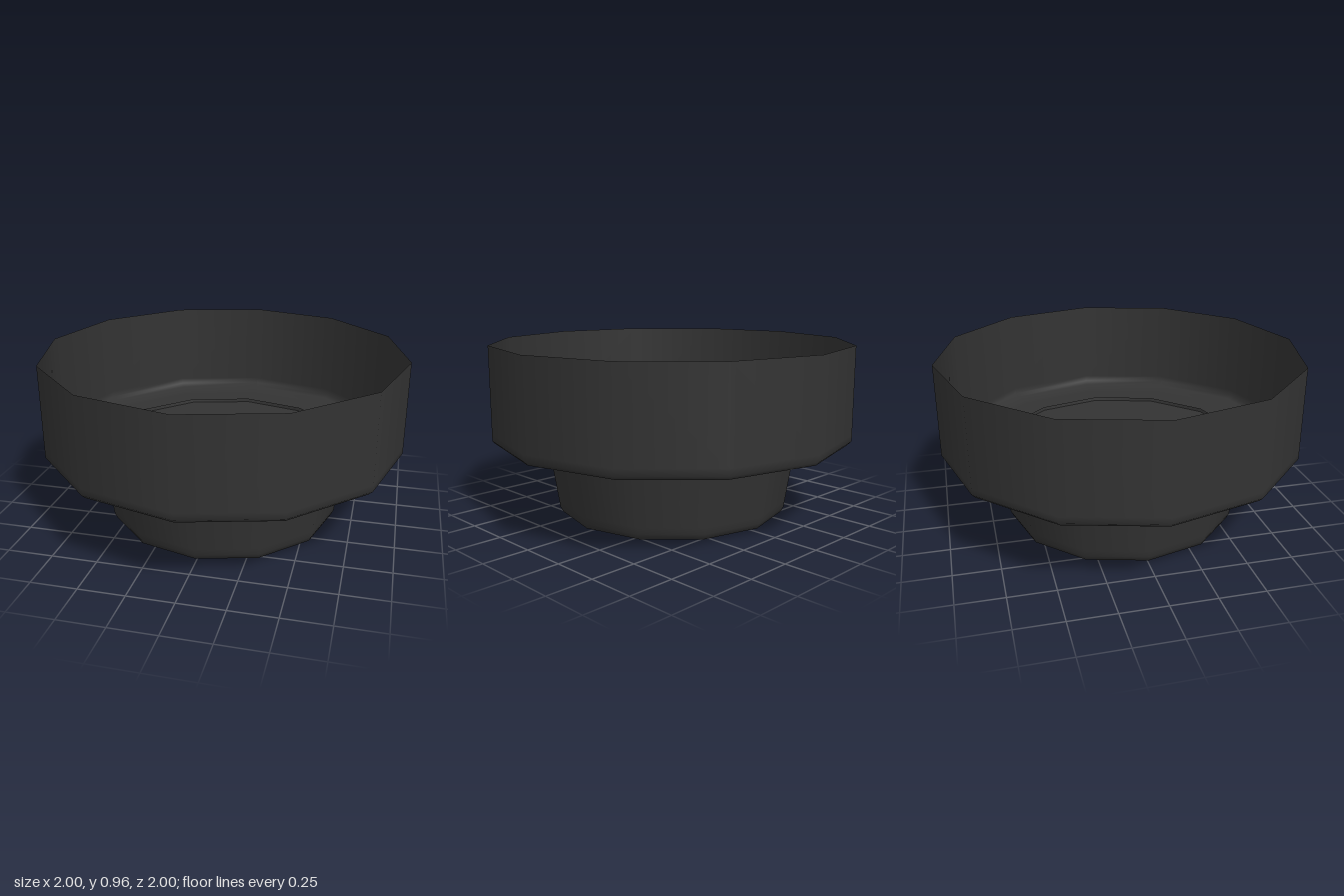
import * as THREE from 'three';

const SIDES = 12;

export function createModel() {
  const group = new THREE.Group();
  const material = new THREE.MeshStandardMaterial({ color: 0x333333, side: THREE.DoubleSide });

  // Thin-walled round shell, profile given as [radius, height] from the centre outwards
  function addShell(name, profile) {
    const points = profile.map(([r, y]) => new THREE.Vector2(r, y));
    const mesh = new THREE.Mesh(new THREE.LatheGeometry(points, SIDES), material);
    mesh.name = name;
    group.add(mesh);
  }

  // Tapered foot: its open rim pokes slightly through the floor of the bowl
  addShell('foot', [
    [0, 0], [0.57, 0], [0.59, 0.003], [0.632, 0.02], [0.647, 0.05], [0.652, 0.085], [0.705, 0.43],
  ]);

  // Wide open bowl with straight walls and a rounded lower edge
  addShell('bowl', [
    [0, 0.41], [0.88, 0.41], [0.91, 0.411], [0.98, 0.425], [1, 0.445], [1, 0.48], [1, 0.96],
  ]);

  return group;
}
